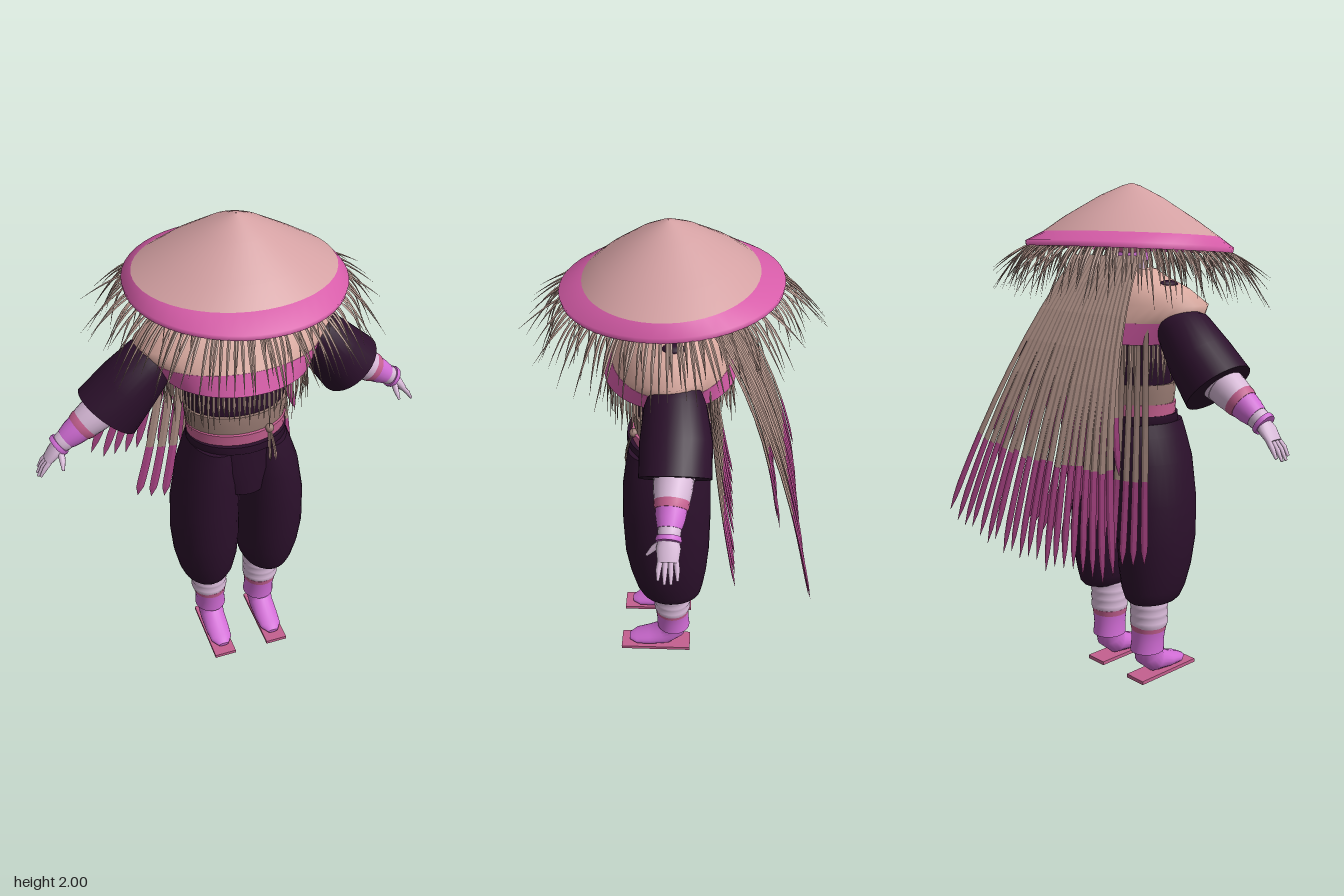
import * as THREE from 'three';
import { mergeGeometries } from 'three/addons/utils/BufferGeometryUtils.js';

const V = (x, y, z) => new THREE.Vector3(x, y, z);
const mat = (name, color, side = THREE.FrontSide) => {
  const m = new THREE.MeshStandardMaterial({ color, side });
  m.name = name;
  return m;
};

// Skin closed rings (centre c, half axes u and v, u x v along the path)
function loft(rings, n = 24, caps = true) {
  const pos = [], idx = [];
  for (const { c, u, v } of rings) for (let j = 0; j < n; j++) {
    const a = (j / n) * Math.PI * 2;
    const p = c.clone().addScaledVector(u, Math.cos(a)).addScaledVector(v, Math.sin(a));
    pos.push(p.x, p.y, p.z);
  }
  for (let i = 0; i < rings.length - 1; i++) for (let j = 0; j < n; j++) {
    const k = (j + 1) % n, a = i * n + j, b = i * n + k;
    idx.push(a, b, b + n, a, b + n, a + n);
  }
  if (caps) [0, rings.length - 1].forEach((r, end) => {
    const base = pos.length / 3;
    for (let j = 0; j < n; j++) pos.push(...pos.slice((r * n + j) * 3, (r * n + j) * 3 + 3));
    for (let j = 1; j < n - 1; j++) idx.push(base, base + (end ? j : j + 1), base + (end ? j + 1 : j));
  });
  const g = new THREE.BufferGeometry();
  g.setAttribute('position', new THREE.Float32BufferAttribute(pos, 3));
  g.setIndex(idx);
  g.computeVertexNormals();
  return g;
}

// Upright body from rows [y, cx, cz, rx, rz], bottom to top
const upright = (rows, n = 32, caps = true) =>
  loft(rows.map(([y, x, z, rx, rz]) => ({ c: V(x, y, z), u: V(rx, 0, 0), v: V(0, 0, -rz) })), n, caps);

// Tube along points; radii [along side, across side]
function limb(points, radii, side, n = 16) {
  return loft(points.map((c, i) => {
    const d = points[Math.min(i + 1, points.length - 1)].clone().sub(points[Math.max(i - 1, 0)]).normalize();
    const s = side.clone().addScaledVector(d, -side.dot(d)).normalize();
    return { c, u: s.clone().multiplyScalar(radii[i][0]), v: d.cross(s).multiplyScalar(radii[i][1]) };
  }), n);
}

// Pointed blade on a bent curve, between parameters t0 and t1
function blade(a, b, c, side, width, thick, t0 = 0, t1 = 1, tipAt = 0.5) {
  const curve = new THREE.QuadraticBezierCurve3(a, b, c), pts = [], rad = [];
  for (let i = 0; i <= 6; i++) {
    const t = t0 + (t1 - t0) * i / 6;
    const w = Math.max(0.04, Math.min(1, (1 - t) / (1 - tipAt))) * (0.7 + 0.3 * t);
    pts.push(curve.getPoint(t));
    rad.push([width * w, thick * w]);
  }
  const g = limb(pts, rad, side, 4).toNonIndexed();
  g.computeVertexNormals();
  return g;
}

export function createModel() {
  const root = new THREE.Group();
  root.name = 'strawCapeTraveller';
  const M = {
    hat: mat('hatStraw', 0xd3a0a2, THREE.DoubleSide),
    pink: mat('pinkTrim', 0xd65ca8, THREE.DoubleSide),
    cape: mat('capeStraw', 0xdaaaa0),
    straw: mat('looseStraw', 0xb3948a),
    dark: mat('darkCloth', 0x2b102b),
    lilac: mat('lilacWrap', 0xd6b8d6),
    purple: mat('purpleCloth', 0xd06cd4),
    tip: mat('dyedTips', 0xb84a90),
    belt: mat('beltBrown', 0x9a7c74),
    rose: mat('roseBand', 0xc4608f),
  };
  const add = (name, geo, m, parent = root) => {
    const mesh = new THREE.Mesh(geo, m);
    mesh.name = name;
    parent.add(mesh);
    return mesh;
  };
  let seed = 7;
  const rnd = () => (seed = (seed * 16807) % 2147483647) / 2147483647;

  // Conical hat, dipping slightly to the front
  const hat = new THREE.Group();
  hat.name = 'hat';
  hat.position.set(0, 1.765, 0.045);
  hat.rotation.x = 0.05;
  root.add(hat);
  add('hatCrown', upright([[0.042, 0, 0, 0.37, 0.317], [0.1, 0, 0, 0.27, 0.25], [0.185, 0, 0, 0.12, 0.12],
    [0.225, 0, 0, 0.035, 0.035], [0.235, 0, 0, 0.002, 0.002]], 48, false), M.hat, hat);
  add('hatBand', upright([[-0.015, 0, 0, 0.4, 0.4], [0.005, 0, 0, 0.403, 0.403], [0.042, 0, 0, 0.37, 0.317]], 48, false), M.pink, hat);

  // Straw fringe around the hat rim
  const rim = [];
  for (let i = 0; i < 130; i++) {
    const a = (i + rnd() * 0.8) / 130 * Math.PI * 2, r = 0.45 + rnd() * 0.12, drop = 0.1 + rnd() * 0.12;
    const at = (q, y) => V(Math.cos(a) * q, y, Math.sin(a) * q);
    rim.push(blade(at(0.36, 0.0), at(0.43, -0.02), at(r, -drop), V(-Math.sin(a), 0, Math.cos(a)), 0.007, 0.004));
  }
  for (let i = 0; i < 40; i++) {
    const a = i / 40 * Math.PI * 2, r = 0.27 + rnd() * 0.08;
    const at = (q, y) => V(Math.cos(a) * q, y, Math.sin(a) * q);
    rim.push(blade(at(r, 0.02), at(r + 0.03, -0.05), at(r + 0.05, -0.12 - rnd() * 0.1), V(-Math.sin(a), 0, Math.cos(a)), 0.006, 0.004));
  }
  add('hatFringe', mergeGeometries(rim), M.straw, hat);

  // Head and wrapped neck
  const head = add('head', new THREE.SphereGeometry(0.1, 24, 16), M.rose);
  head.position.set(0, 1.8, 0.04);
  add('neckWrap', upright([[1.67, 0, 0.03, 0.075, 0.075], [1.71, 0, 0.035, 0.075, 0.075]]), M.lilac);
  add('neckScarf', upright([[1.71, 0, 0.035, 0.08, 0.08], [1.745, 0, 0.04, 0.08, 0.08]]), M.purple);

  // Shoulder cape with band and hanging fringe
  add('shoulderCape', upright([[1.49, 0, 0.045, 0.335, 0.225], [1.555, 0, 0.04, 0.385, 0.19], [1.61, 0, 0.035, 0.29, 0.165],
    [1.65, 0, 0.025, 0.19, 0.13], [1.68, 0, 0.02, 0.13, 0.11]], 40), M.cape);
  add('capeBand', upright([[1.41, 0, 0.05, 0.29, 0.25], [1.49, 0, 0.045, 0.336, 0.226]], 40), M.pink);
  const hem = [];
  for (let i = 0; i < 90; i++) {
    const a = i / 90 * Math.PI * 2, x = Math.cos(a), z = Math.sin(a), y = 1.32 - rnd() * 0.1;
    const k = 0.9 + rnd() * 0.14;
    hem.push(blade(V(x * 0.27, 1.43, 0.05 + z * 0.235), V(x * 0.28, 1.37, 0.05 + z * 0.24),
      V(x * 0.28 * k, y, 0.05 + z * 0.25 * k), V(-z, 0, x), 0.007, 0.004));
  }
  add('capeFringe', mergeGeometries(hem), M.straw);

  // Torso and belts
  add('torso', upright([[1.2, 0, 0.04, 0.195, 0.145], [1.45, 0, 0.04, 0.22, 0.15]]), M.dark);
  add('belt', upright([[1.165, 0, 0.045, 0.2, 0.15], [1.21, 0, 0.045, 0.206, 0.155], [1.245, 0, 0.045, 0.207, 0.153]]), M.belt);
  add('sash', upright([[1.12, 0, 0.05, 0.2, 0.155], [1.167, 0, 0.05, 0.203, 0.158]]), M.rose);
  add('hips', upright([[0.88, 0, 0.06, 0.13, 0.16], [1.0, 0, 0.06, 0.19, 0.168], [1.085, 0, 0.055, 0.19, 0.165],
    [1.09, 0, 0.055, 0.203, 0.17], [1.122, 0, 0.055, 0.203, 0.168]]), M.dark);
  const knot = add('sashKnot', new THREE.SphereGeometry(0.018, 12, 8), M.belt);
  knot.position.set(0.09, 1.165, 0.19);
  add('sashTails', mergeGeometries([-1, 1].map(k => blade(V(0.09, 1.165, 0.19), V(0.09 + k * 0.012, 1.1, 0.225),
    V(0.095 + k * 0.012, 1.03, 0.225), V(1, 0, 0), 0.007, 0.004, 0, 1, 0.9))), M.belt);

  for (const s of [1, -1]) {
    const side = s > 0 ? 'left' : 'right';
    const P = (x, y, z) => V(s * x, y, z);
    const Z = V(0, 0, 1), X = V(1, 0, 0);

    // Arm: sleeve, wrapped forearm, hand
    const arm = new THREE.Group();
    arm.name = side + 'Arm';
    root.add(arm);
    add('sleeve', limb([P(0.25, 1.5, 0.02), P(0.325, 1.455, 0.02), P(0.41, 1.365, 0.015), P(0.497, 1.27, 0.015)],
      [[0.08, 0.06], [0.11, 0.1], [0.128, 0.118], [0.128, 0.135]], Z, 28), M.dark, arm);
    const tuft = add('shoulderTuft', new THREE.SphereGeometry(0.03, 12, 8), M.dark, arm);
    tuft.position.copy(P(0.225, 1.625, 0.03));
    tuft.scale.set(1, 0.6, 1.5);
    const F = t => P(0.45 + 0.25 * t, 1.33 - 0.165 * t, 0.015 + 0.015 * t);
    const band = (name, t0, t1, r0, r1, m) =>
      add(name, limb([F(t0), F((t0 + t1) / 2), F(t1)], [[r0, r0], [(r0 + r1) / 2 + 0.002, (r0 + r1) / 2 + 0.002], [r1, r1]], Z, 20), m, arm);
    band('upperWrap', 0, 0.28, 0.078, 0.073, M.lilac);
    band('lowerWrap', 0.28, 0.54, 0.07, 0.062, M.lilac);
    band('forearmBand', 0.54, 0.64, 0.062, 0.057, M.rose);
    band('cuff', 0.64, 0.86, 0.055, 0.042, M.purple);
    band('wrist', 0.86, 0.96, 0.04, 0.036, M.lilac);
    band('wristRing', 0.95, 1.01, 0.044, 0.043, M.purple);
    const hand = [limb([P(0.69, 1.17, 0.03), P(0.715, 1.147, 0.03), P(0.745, 1.112, 0.03)], [[0.034, 0.025], [0.042, 0.023], [0.036, 0.016]], Z)];
    for (let i = 0; i < 4; i++) {
      const k = i - 1.5, l = i === 0 || i === 3 ? 0.85 : 1;
      hand.push(limb([P(0.735, 1.122, 0.03 + k * 0.017), P(0.735 + 0.032 * l, 1.122 - 0.034 * l, 0.03 + k * 0.021),
        P(0.735 + 0.055 * l, 1.122 - 0.07 * l, 0.03 + k * 0.022)], [[0.01, 0.01], [0.0095, 0.0095], [0.005, 0.005]], Z, 8));
    }
    hand.push(limb([P(0.695, 1.16, 0.045), P(0.695, 1.13, 0.08), P(0.7, 1.1, 0.105)], [[0.014, 0.014], [0.012, 0.012], [0.005, 0.005]], X, 8));
    add('hand', mergeGeometries(hand), M.lilac, arm);

    // Leg: baggy trousers, wraps, boot, sandal
    const leg = new THREE.Group();
    leg.name = side + 'Leg';
    root.add(leg);
    add('trouserLeg', upright([[0.355, 0.142, 0.045, 0.085, 0.115], [0.37, 0.14, 0.045, 0.1, 0.128], [0.41, 0.138, 0.05, 0.117, 0.142],
      [0.5, 0.14, 0.055, 0.135, 0.16], [0.62, 0.143, 0.06, 0.143, 0.174], [0.78, 0.14, 0.062, 0.14, 0.178],
      [0.94, 0.124, 0.062, 0.128, 0.175], [1.04, 0.108, 0.058, 0.11, 0.165], [1.09, 0.1, 0.055, 0.1, 0.158]].map(
      ([y, x, ...r]) => [y, s * x, ...r])), M.dark, leg);
    const wraps = [];
    for (let i = 0; i <= 12; i++) {
      const r = 0.075 + (i % 3 ? 0.004 : 0);
      wraps.push([0.235 + i * 0.012, s * 0.122, 0.04, r, r]);
    }
    add('calfWrap', upright(wraps), M.lilac, leg);
    add('calfBand', upright([[0.215, s * 0.12, 0.04, 0.071, 0.073], [0.24, s * 0.12, 0.04, 0.075, 0.077]]), M.rose, leg);
    add('bootCuff', upright([[0.122, s * 0.117, 0.035, 0.068, 0.072], [0.17, s * 0.118, 0.038, 0.064, 0.07], [0.215, s * 0.12, 0.04, 0.07, 0.073]]), M.purple, leg);
    add('boot', limb([[0.15, 0.035], [0.1, 0.042], [0.065, 0.075], [0.047, 0.14], [0.037, 0.2], [0.032, 0.234]].map(
      ([y, z]) => P(0.119, y, z)), [[0.058, 0.06], [0.056, 0.062], [0.054, 0.052], [0.053, 0.035], [0.047, 0.023], [0.022, 0.01]], X, 20), M.purple, leg);
    const sole = add('sandalSole', new THREE.BoxGeometry(0.095, 0.015, 0.31), M.rose, leg);
    sole.position.set(s * 0.122, 0.0075, 0.115);
  }

  // Long dyed straw strips fanning down the back
  const strips = [], tips = [];
  const strip = (a, b, c, w, split) => {
    strips.push(blade(a, b, c, V(1, 0, 0), w, 0.005, 0, split, 0.94));
    tips.push(blade(a, b, c, V(1, 0, 0), w, 0.005, split, 1, 0.94));
  };
  for (let i = 0; i < 20; i++) {
    const k = i / 9.5 - 1, j = rnd() * 0.05;
    strip(V(0.17 * k, 1.73, -0.08), V(0.28 * k, 1.34, -0.36), V(0.5 * k, 0.58 + 0.07 * Math.abs(k) + j, -0.5), 0.019, 0.73);
  }
  for (let i = 0; i < 15; i++) {
    const k = i / 7 - 1, j = rnd() * 0.2;
    strip(V(0.16 * k, 1.71, -0.07), V(0.26 * k, 1.38, -0.31), V(0.38 * k, 0.9 + j, -0.38 + j * 0.2), 0.017, 0.75);
  }
  for (let i = 0; i < 13; i++) {
    const k = i / 6 - 1, j = rnd() * 0.06;
    strip(V(0.24 * k, 1.47, -0.1), V(0.26 * k, 1.1, -0.12), V(0.36 * k, 0.57 + j, -0.22), 0.02, 0.68);
  }
  add('backStrips', mergeGeometries(strips), M.straw);
  add('backStripTips', mergeGeometries(tips), M.tip);
  return root;
}
